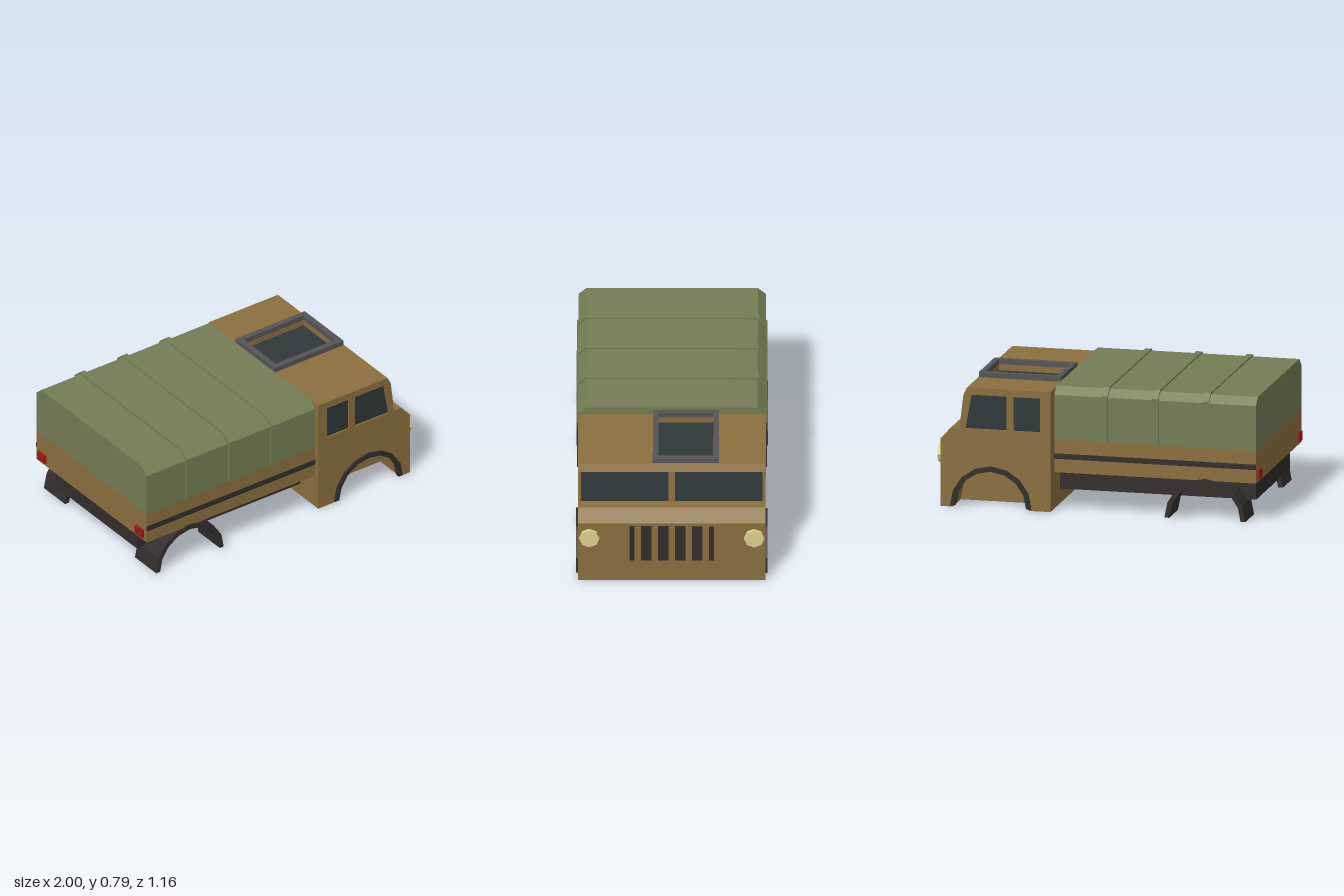
import * as THREE from 'three';

const mat = (color) => new THREE.MeshStandardMaterial({ color, flatShading: true });

export function createModel() {
  const truck = new THREE.Group();
  truck.name = 'truck';
  const paint = mat(0x8b6f3e), canvas = mat(0x747d55), dark = mat(0x322e2d);
  const glass = mat(0x30383b), grey = mat(0x555555), lamp = mat(0xdcd28c), red = mat(0xa01818);

  const add = (name, geometry, material, parent = truck) => {
    const mesh = new THREE.Mesh(geometry, material);
    mesh.name = name;
    parent.add(mesh);
    return mesh;
  };
  const group = (name) => {
    const g = new THREE.Group();
    g.name = name;
    truck.add(g);
    return g;
  };
  // Box given by its minimum and maximum on each axis
  const box = (name, x0, x1, y0, y1, z0, z1, material, parent) =>
    add(name, new THREE.BoxGeometry(x1 - x0, y1 - y0, z1 - z0)
      .translate((x0 + x1) / 2, (y0 + y1) / 2, (z0 + z1) / 2), material, parent);
  const shapeOf = (pts) => new THREE.Shape(pts.map(([x, y]) => new THREE.Vector2(x, y)));
  const extrude = (shape, depth) => new THREE.ExtrudeGeometry(shape, { depth, bevelEnabled: false });
  // Side profile (x, y) spanning z0 to z1
  const slab = (name, shape, z0, z1, material, parent) =>
    add(name, extrude(shape, z1 - z0).translate(0, 0, z0), material, parent);
  // Symmetric cross-section (z, y) spanning x0 to x1
  const section = (name, pts, x0, x1, material, parent) =>
    add(name, extrude(shapeOf(pts), x1 - x0).rotateY(Math.PI / 2).translate(x0, 0, 0), material, parent);
  // Half ring of eight straight segments, left to right
  const arc = (cx, r) => Array.from({ length: 9 }, (_, i) => {
    const a = Math.PI * (1 - i / 8);
    return [cx + r * Math.cos(a), 0.01 + r * Math.sin(a)];
  });
  const archShape = (cx) => shapeOf([...arc(cx, 0.252), ...arc(cx, 0.222).reverse()]);

  const FRONT = 0.665, REAR = -0.67;

  // Side profile of the cab, with optional wheel well, windscreen recess and roof opening
  const cabProfile = (well, screen, hatch) => shapeOf([
    [0.295, 0],
    ...(well ? [[FRONT - 0.237, 0], ...arc(FRONT, 0.237), [FRONT + 0.237, 0]] : []),
    [0.98, 0], [0.98, 0.417], [0.914, 0.49], [0.861, 0.49],
    ...(screen ? [[0.84, 0.49], [0.815, 0.697]] : []),
    [0.836, 0.697], [0.813, 0.744],
    ...(hatch ? [[0.775, 0.744], [0.775, 0.7], [0.33, 0.7], [0.33, 0.744]] : []),
    [0.295, 0.744],
  ]);
  const sideWindows = [
    [[0.36, 0.49], [0.525, 0.49], [0.525, 0.7], [0.36, 0.7]],
    [[0.568, 0.49], [0.823, 0.49], [0.786, 0.7], [0.568, 0.7]],
  ];

  // Cab body, built in slices across its width
  const cab = group('cab');
  const cuts = [-0.565, -0.547, -0.365, -0.25, -0.02, 0.02, 0.08, 0.365, 0.547, 0.565];
  for (let i = 0; i < cuts.length - 1; i++) {
    const z0 = cuts[i], z1 = cuts[i + 1], mid = (z0 + z1) / 2, off = Math.abs(mid);
    const isSkin = off > 0.547;
    const screen = off > 0.02 && !isSkin;
    const profile = cabProfile(off > 0.365, screen, mid > -0.25 && mid < 0.08);
    if (isSkin) profile.holes = sideWindows.map(shapeOf);
    slab(isSkin ? 'cabSide' : 'cabSlice', profile, z0, z1, paint, cab);
  }

  // Glazing
  const windows = group('windows');
  for (const s of [-1, 1]) {
    const z = [s * 0.547, s * 0.555].sort((a, b) => a - b);
    sideWindows.forEach((w) => slab('sideWindow', shapeOf(w), z[0], z[1], glass, windows));
    const w = [s * 0.02, s * 0.547].sort((a, b) => a - b);
    slab('windscreen', shapeOf([[0.838, 0.49], [0.847, 0.49], [0.822, 0.697], [0.813, 0.697]]),
      w[0], w[1], glass, windows);
  }

  // Roof hatch frame with sunken glass
  const hatch = group('roofHatch');
  const rim = shapeOf([[0.295, -0.115], [0.81, -0.115], [0.81, 0.285], [0.295, 0.285]]);
  rim.holes.push(shapeOf([[0.33, -0.08], [0.775, -0.08], [0.775, 0.25], [0.33, 0.25]]));
  add('hatchFrame', extrude(rim, 0.032).rotateX(-Math.PI / 2).translate(0, 0.744, 0), grey, hatch);
  box('hatchGlass', 0.33, 0.775, 0.699, 0.706, -0.25, 0.08, glass, hatch);

  // Grille and its bars
  const grille = group('grille');
  box('grillePanel', 0.975, 0.985, 0.147, 0.398, -0.256, 0.256, dark, grille);
  for (let i = -2; i <= 2; i++) {
    const z = i * 0.1025;
    box('grilleBar', 0.975, 0.995, 0.147, 0.398, z - 0.02, z + 0.02, paint, grille);
  }

  // Load bed, chassis and canvas cover
  box('chassis', -0.95, 0.27, 0.115, 0.25, -0.42, 0.42, dark);
  box('loadBed', -0.985, 0.27, 0.25, 0.455, -0.567, 0.567, paint);
  const cover = (w, top) => [
    [-w, 0.455], [w, 0.455], [w, top - 0.046], [w - 0.05, top], [-w + 0.05, top], [-w, top - 0.046],
  ];
  section('canvasCover', cover(0.567, 0.776), -0.985, 0.27, canvas);
  for (const x of [-0.675, -0.36, -0.045])
    section('canvasRib', cover(0.576, 0.786), x - 0.019, x + 0.019, canvas);

  // Mirrored parts
  for (const s of [-1, 1]) {
    const span = (a, b) => (s > 0 ? [a, b] : [-b, -a]);
    slab('frontArchTrim', archShape(FRONT), ...span(0.55, 0.578), dark);
    slab('rearFender', archShape(REAR), ...span(0.36, 0.578), dark);
    box('sideStripe', -0.985, 0.27, 0.335, 0.367, ...span(0.56, 0.574), dark);
    box('tailLight', -1, -0.98, 0.272, 0.328, ...span(0.465, 0.54), red);
    add('headlight', new THREE.CylinderGeometry(0.061, 0.061, 0.025, 8)
      .rotateZ(-Math.PI / 2).translate(0.9875, 0.317, s * 0.498), lamp);
  }
  return truck;
}
